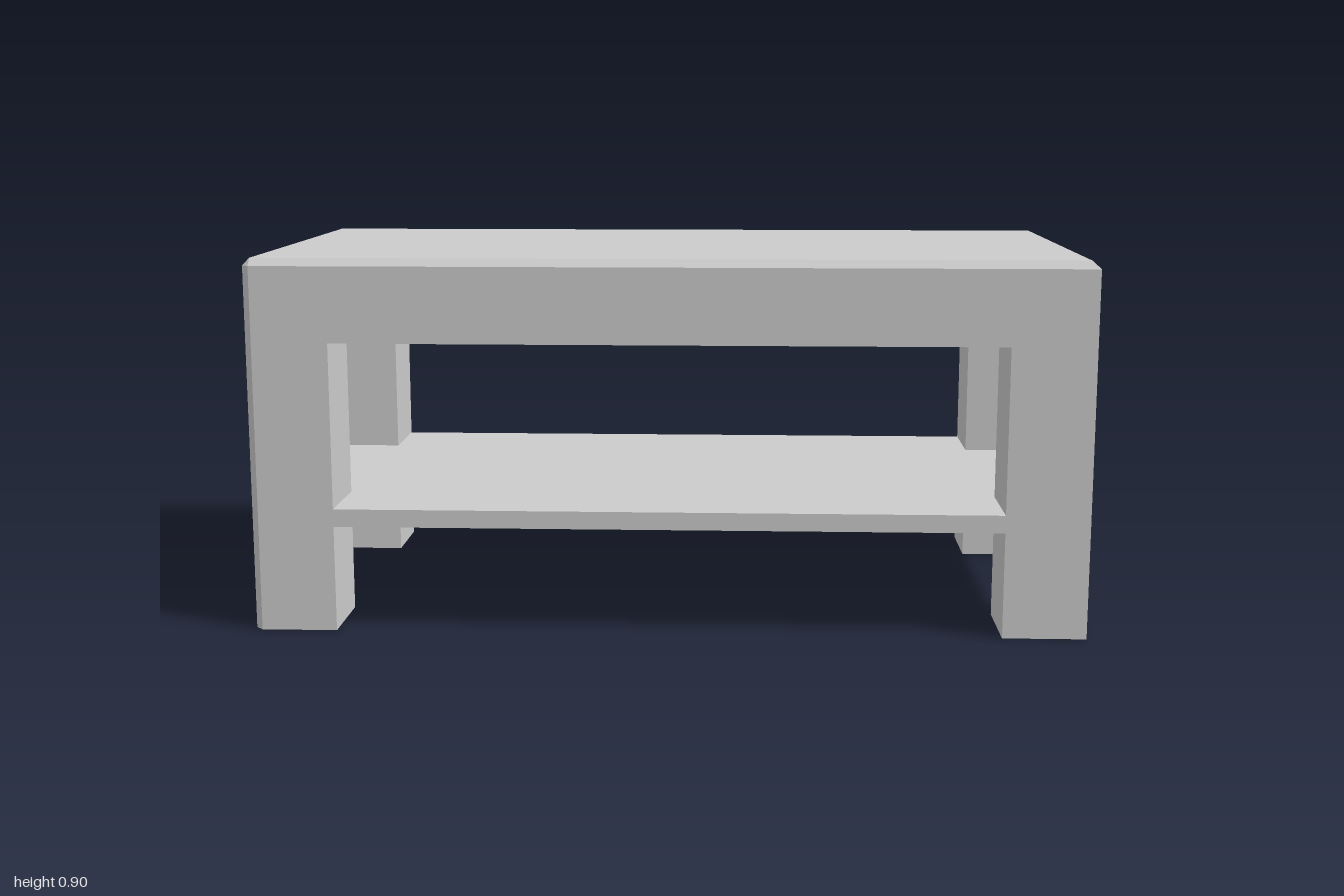
import * as THREE from 'three';
import { ConvexGeometry } from 'three/addons/geometries/ConvexGeometry.js';

const W = 1, D = 0.5, LEG = 0.2, BEVEL = 0.018;
const UNDER = 0.7, TOP = 0.9;
const SHELF = 0.3, SKIRT = 0.043;

// Outer corner in plan: chamfered everywhere except the front left one
function corner(sx, sz) {
  if (sx > 0 && sz > 0) return [[W, D]];
  return [[sx * W, sz * (D - BEVEL)], [sx * (W - BEVEL), sz * D]];
}

const planShape = (points) => new THREE.Shape(points.map(([x, z]) => new THREE.Vector2(x, z)));

export function createModel() {
  const group = new THREE.Group();
  const material = new THREE.MeshStandardMaterial({ color: 0xcccccc, flatShading: true });
  const thin = material.clone();
  thin.side = THREE.DoubleSide;
  const add = (name, geometry, mat = material) => {
    const mesh = new THREE.Mesh(geometry, mat);
    mesh.name = name;
    group.add(mesh);
    return mesh;
  };
  const corners = [[1, 1, 'frontLeft'], [-1, 1, 'frontRight'], [-1, -1, 'backRight'], [1, -1, 'backLeft']];
  const a = W - LEG, b = D - LEG;

  // Thick table top with a bevelled upper rim
  const hull = [];
  for (const [sx, sz] of corners) {
    for (const [x, z] of corner(sx, sz)) {
      hull.push(new THREE.Vector3(x, UNDER, z), new THREE.Vector3(x, TOP - BEVEL, z));
    }
    hull.push(new THREE.Vector3(sx * (W - BEVEL), TOP, sz * (D - BEVEL)));
  }
  add('tableTop', new ConvexGeometry(hull));

  // Square legs
  for (const [sx, sz, name] of corners) {
    const plan = planShape([[sx * a, sz * b], [sx * W, sz * b], ...corner(sx, sz), [sx * a, sz * D]]);
    const leg = new THREE.ExtrudeGeometry(plan, { depth: UNDER, bevelEnabled: false });
    add(name + 'Leg', leg.rotateX(Math.PI / 2).translate(0, UNDER, 0));
  }

  // Lower shelf: a sheet notched around the legs, open underneath
  const sheet = new THREE.ShapeGeometry(planShape([
    [W, -b], [W, b], [a, b], [a, D], [-a, D], [-a, b],
    [-W, b], [-W, -b], [-a, -b], [-a, -D], [a, -D], [a, -b],
  ]));
  // Turned by -90 degrees so the sheet faces up; the outline is symmetric
  add('shelf', sheet.rotateX(-Math.PI / 2).translate(0, SHELF, 0), thin);

  // Skirts hanging from the four shelf edges, flush with the legs
  const sides = [['front', 0, a, D], ['left', 1, b, W], ['back', 2, a, D], ['right', 3, b, W]];
  for (const [name, turn, half, out] of sides) {
    const skirt = new THREE.PlaneGeometry(2 * half, SKIRT).translate(0, SHELF - SKIRT / 2, out);
    add(name + 'ShelfEdge', skirt.rotateY(turn * Math.PI / 2), thin);
  }

  // Tiny gusset at the inner top of the back right leg
  const gusset = new THREE.BufferGeometry().setFromPoints([
    new THREE.Vector3(-a, UNDER - BEVEL, -b),
    new THREE.Vector3(-a - BEVEL, UNDER, -b),
    new THREE.Vector3(-a, UNDER, -b + 0.015),
  ]);
  gusset.computeVertexNormals();
  add('legGusset', gusset, thin);

  return group;
}
